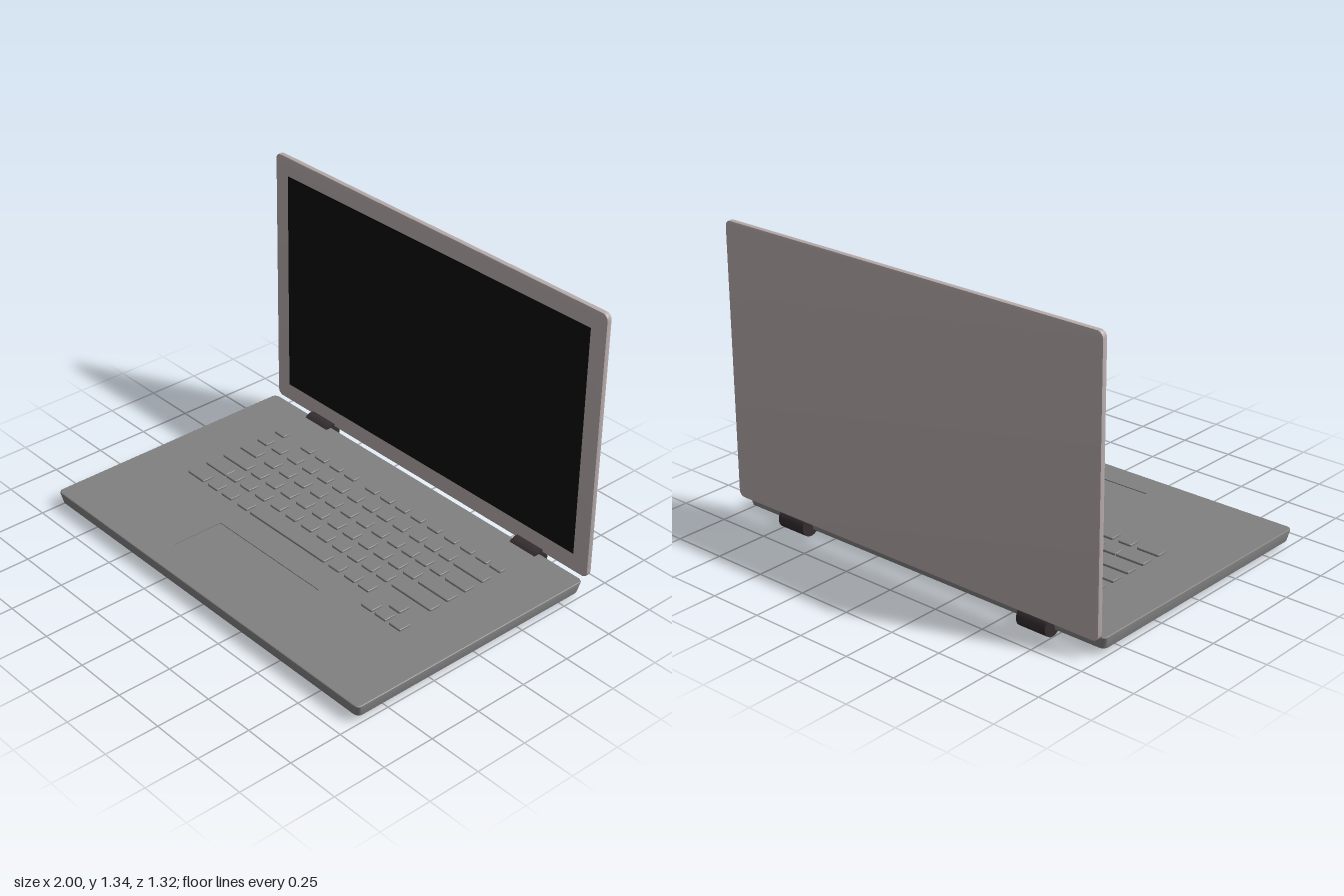
import * as THREE from 'three';
import { mergeGeometries, toCreasedNormals } from 'three/addons/utils/BufferGeometryUtils.js';

const material = (name, color, side = THREE.FrontSide) => {
  const m = new THREE.MeshStandardMaterial({ color, side });
  m.name = name;
  return m;
};

// Anticlockwise outline of a rounded rectangle
function roundedRect(x0, x1, y0, y1, r, steps = 4) {
  const corners = [[x1 - r, y0 + r, -1], [x1 - r, y1 - r, 0], [x0 + r, y1 - r, 1], [x0 + r, y0 + r, 2]];
  return corners.flatMap(([cx, cy, quarter]) =>
    Array.from({ length: steps + 1 }, (_, i) => {
      const a = (quarter + i / steps) * Math.PI / 2;
      return new THREE.Vector2(cx + r * Math.cos(a), cy + r * Math.sin(a));
    }));
}

// Walls between stacked outlines, each { y, pts } with pts as (x, -z)
function loft(rings) {
  const pos = [];
  const put = (ring, j) => {
    const p = ring.pts[j % ring.pts.length];
    pos.push(p.x, ring.y, -p.y);
  };
  for (let i = 0; i + 1 < rings.length; i++) {
    const lo = rings[i], hi = rings[i + 1];
    for (let j = 0; j < lo.pts.length; j++) {
      put(lo, j); put(lo, j + 1); put(hi, j + 1);
      put(lo, j); put(hi, j + 1); put(hi, j);
    }
  }
  const g = new THREE.BufferGeometry();
  g.setAttribute('position', new THREE.Float32BufferAttribute(pos, 3));
  return toCreasedNormals(g, 0.6);
}

// Flat horizontal face, facing up or down
function flatFace(pts, y, up = true, hole = null) {
  const shape = new THREE.Shape(pts);
  if (hole) shape.holes.push(new THREE.Path(hole));
  const g = new THREE.ShapeGeometry(shape).toNonIndexed();
  g.rotateX(-Math.PI / 2);
  if (!up) {
    const p = g.attributes.position;
    for (let i = 0; i < p.count; i += 3) {
      const a = new THREE.Vector3().fromBufferAttribute(p, i + 1);
      const b = new THREE.Vector3().fromBufferAttribute(p, i + 2);
      p.setXYZ(i + 1, b.x, b.y, b.z);
      p.setXYZ(i + 2, a.x, a.y, a.z);
    }
    g.computeVertexNormals();
  }
  g.translate(0, y, 0);
  g.deleteAttribute('uv');
  return g;
}

const TOP = 0.08;

// Tapered body with a shallow touchpad recess
function baseGeometry() {
  const outline = (inset) => roundedRect(-1 + inset, 1 - inset, -0.66 + inset, 0.61 - inset, 0.025);
  const rings = [[0.018, 0.02], [0.01, 0.025], [0, 0.074], [0.001, 0.078], [0.004, TOP]]
    .map(([inset, y]) => ({ y, pts: outline(inset) }));
  const pad = roundedRect(-0.33, 0.325, -0.525, -0.27, 0.004, 2);
  const inner = [...pad].reverse();
  return mergeGeometries([
    loft(rings),
    flatFace(rings[0].pts, 0.02, false),
    flatFace(rings[4].pts, TOP, true, inner),
    loft([{ y: TOP - 0.004, pts: inner }, { y: TOP, pts: inner }]),
    flatFace(pad, TOP - 0.004),
  ]);
}

// Key rows: depth range, centres of the square keys, spans of the wide keys
const KEY_ROWS = [
  { z: [-0.42, -0.38], keys: [-0.705, -0.52, -0.42, -0.32, -0.22, -0.08, 0.02, 0.118, 0.217, 0.323, 0.427, 0.527, 0.62, 0.703], wide: [] },
  { z: [-0.332, -0.275], keys: [-0.705, -0.604, -0.494, -0.39, -0.286, -0.182, -0.083, 0.018, 0.113, 0.215, 0.32, 0.413, 0.503], wide: [[0.56, 0.737]] },
  { z: [-0.233, -0.174], keys: [-0.535, -0.43, -0.325, -0.217, -0.114, -0.012, 0.09, 0.19, 0.288, 0.38, 0.466, 0.555], wide: [[-0.74, -0.624], [0.613, 0.737]] },
  { z: [-0.136, -0.073], keys: [-0.506, -0.403, -0.3, -0.195, -0.088, 0.015, 0.116, 0.214, 0.313, 0.405, 0.497], wide: [[-0.74, -0.57], [0.555, 0.737]] },
  { z: [-0.037, 0.025], keys: [-0.562, -0.465, -0.36, -0.254, -0.15, -0.045, 0.058, 0.158, 0.253, 0.346, 0.437], wide: [[-0.74, -0.598], [0.5, 0.737]] },
  { z: [0.068, 0.13], keys: [-0.562, -0.465, -0.355, 0.255, 0.353, 0.44, 0.632], wide: [[-0.74, -0.624], [-0.302, 0.194]] },
  { z: [0.146, 0.21], keys: [0.549, 0.632, 0.72], wide: [] },
];

function keyGeometry(x0, x1, z0, z1) {
  const ring = (inset, y) => ({ y, pts: roundedRect(x0 + inset, x1 - inset, -z1 + inset, -z0 - inset, 0.007, 2) });
  const rings = [ring(0, TOP), ring(0, TOP + 0.008), ring(0.002, TOP + 0.01)];
  return mergeGeometries([loft(rings), flatFace(rings[2].pts, TOP + 0.01)]);
}

export function createModel() {
  const grey = material('body grey', 0x808080);
  const shell = material('lid warm silver', 0xb8acac);
  const black = material('screen black', 0x0c0c0c);
  const dark = material('hinge charcoal', 0x352e30);

  const model = new THREE.Group();
  model.name = 'laptop';
  const add = (name, geometry, mat, x = 0, y = 0, z = 0) => {
    const mesh = new THREE.Mesh(geometry, mat);
    mesh.name = name;
    mesh.position.set(x, y, z);
    model.add(mesh);
    return mesh;
  };

  add('base', baseGeometry(), grey);

  // Keyboard
  const half = 0.034;
  const keys = KEY_ROWS.flatMap(({ z, keys, wide }) =>
    [...keys.map((c) => [c - half, c + half]), ...wide].map(([a, b]) => keyGeometry(a, b, z[0], z[1])));
  add('keyboard', mergeGeometries(keys), grey);

  // Upright lid with a slightly bevelled edge
  const bevel = 0.003;
  const lid = new THREE.ExtrudeGeometry(
    new THREE.Shape(roundedRect(-1 + bevel, 1 - bevel, 0.08 + bevel, 1.34 - bevel, 0.025)),
    { depth: 0.019, bevelEnabled: true, bevelSize: bevel, bevelThickness: bevel, bevelSegments: 2 });
  add('lid', toCreasedNormals(lid, 0.6), shell, 0, 0, -0.65);

  // Screen plate on the lid's front
  add('screen', new THREE.BoxGeometry(1.836, 1.085, 0.003), black, 0, 0.708, -0.6275);

  // Hinge barrels
  for (const side of [-1, 1]) {
    const barrel = new THREE.CylinderGeometry(0.048, 0.048, 0.148, 32).rotateZ(Math.PI / 2);
    add(side > 0 ? 'leftHinge' : 'rightHinge', barrel, dark, side * 0.672, 0.048, -0.614);
  }
  return model;
}
